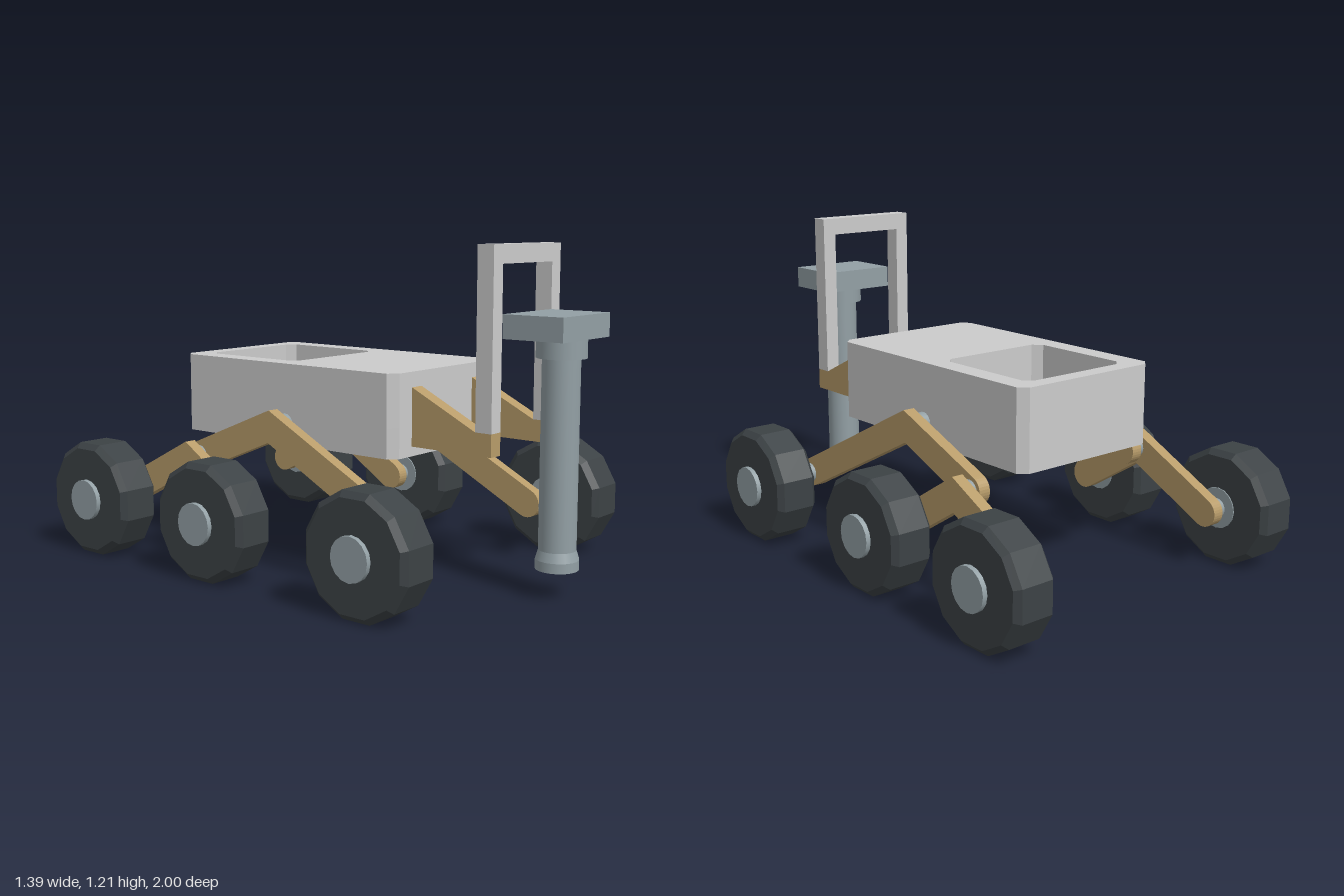
import * as THREE from 'three';

const material = (color, extra = {}) => new THREE.MeshStandardMaterial({ color, ...extra });

export function createModel() {
  const model = new THREE.Group();
  model.name = 'rover';
  const grey = material(0xcccccc);
  const steel = material(0x93a0a5);
  const gold = material(0xb89c6a);
  const rubber = material(0x3c4245, { flatShading: true });

  const add = (name, geometry, mat, x = 0, y = 0, z = 0) => {
    const mesh = new THREE.Mesh(geometry, mat);
    mesh.name = name;
    mesh.position.set(x, y, z);
    model.add(mesh);
    return mesh;
  };
  const points = (list) => list.map(([x, y]) => new THREE.Vector2(x, y));

  // Rectangle with cut corners, drawn in plan (x, -z)
  const cutRect = (w, z0, z1, c) => points([
    [-w + c, -z1], [w - c, -z1], [w, -z1 + c], [w, -z0 - c],
    [w - c, -z0], [-w + c, -z0], [-w, -z0 - c], [-w, -z1 + c],
  ]);
  // Extrude a plan shape upwards
  const extrudeUp = (shape, depth) =>
    new THREE.ExtrudeGeometry(shape, { depth, bevelEnabled: false }).rotateX(-Math.PI / 2);
  // Extrude a side profile (z, y) across x, centred on x = 0
  const extrudeAcross = (shape, depth) =>
    new THREE.ExtrudeGeometry(shape, { depth, bevelEnabled: false, curveSegments: 8 })
      .translate(0, 0, -depth / 2).rotateY(-Math.PI / 2);
  // Cylinder along x between two x positions
  const rod = (name, r, x0, x1, y, z, side) =>
    add(name, new THREE.CylinderGeometry(r, r, x1 - x0, 16).rotateZ(Math.PI / 2),
      steel, side * (x0 + x1) / 2, y, z);

  // Bent bar with round ends and a mitred elbow, through three (z, y) points
  const bentArm = (p0, p1, p2, h) => {
    const t0 = Math.atan2(p1[1] - p0[1], p1[0] - p0[0]);
    const t1 = Math.atan2(p2[1] - p1[1], p2[0] - p1[0]);
    const q = Math.PI / 2;
    const m = (t0 + t1) / 2 + q;
    const k = h / Math.cos((t1 - t0) / 2);
    const dx = Math.cos(m) * k, dy = Math.sin(m) * k;
    const s = new THREE.Shape();
    s.moveTo(p0[0] + h * Math.cos(t0 - q), p0[1] + h * Math.sin(t0 - q));
    s.lineTo(p1[0] - dx, p1[1] - dy);
    s.absarc(p2[0], p2[1], h, t1 - q, t1 + q, false);
    s.lineTo(p1[0] + dx, p1[1] + dy);
    s.absarc(p0[0], p0[1], h, t0 + q, t0 + 3 * q, false);
    return extrudeAcross(s, 0.046);
  };

  // Body: solid base and a rim around the open cargo bay
  const outline = cutRect(0.313, -0.615, 0.435, 0.032);
  add('bodyBase', extrudeUp(new THREE.Shape(outline), 0.11), grey, 0, 0.465, 0);
  const rim = new THREE.Shape(outline);
  rim.holes.push(new THREE.Path(cutRect(0.232, -0.55, -0.1, 0.032).reverse()));
  add('bodyRim', extrudeUp(rim, 0.19), grey, 0, 0.575, 0);

  // Front frame: upside-down U
  const frame = new THREE.Shape(points([
    [-0.21, 0.58], [-0.155, 0.58], [-0.155, 1.145], [0.155, 1.145],
    [0.155, 0.58], [0.21, 0.58], [0.21, 1.21], [-0.21, 1.21],
  ]));
  add('frontFrame', new THREE.ExtrudeGeometry(frame, { depth: 0.065, bevelEnabled: false }),
    grey, 0, 0, 0.703);

  // Drill: bracket plate, collar and hollow tube with flared tip
  add('drillBracket', new THREE.BoxGeometry(0.306, 0.083, 0.232), steel, 0, 0.937, 0.884);
  add('drillCollar', new THREE.CylinderGeometry(0.087, 0.087, 0.066, 20), steel, 0, 0.863, 0.906);
  // Doubled points keep the lathe edges sharp
  const tube = [
    [0, 0.2], [0.046, 0.2], [0.046, 0.2], [0.046, 0.1], [0.046, 0.1], [0.076, 0.1],
    [0.076, 0.1], [0.076, 0.135], [0.076, 0.135], [0.066, 0.168], [0.066, 0.168], [0.066, 0.84],
  ];
  add('drillTube', new THREE.LatheGeometry(points(tube), 20), steel, 0, 0, 0.906);

  // Shared shapes for both sides
  const axleY = 0.215;
  const strut = extrudeAcross(new THREE.Shape(points([
    [0.435, 0.5], [0.768, 0.5], [0.768, 0.58], [0.703, 0.58], [0.435, 0.71],
  ])), 0.055);
  const rocker = bentArm([-0.445, 0.39], [-0.078, 0.54], [0.555, axleY], 0.055);
  const bogie = bentArm([-0.785, axleY], [-0.445, 0.39], [-0.17, axleY], 0.055);
  const R = 0.2155 / Math.cos(Math.PI / 12);
  const tyre = new THREE.LatheGeometry(points([
    [0, -0.083], [R - 0.022, -0.083], [R, -0.063],
    [R, 0.063], [R - 0.022, 0.083], [0, 0.083],
  ]), 12, Math.PI / 12).rotateZ(-Math.PI / 2);

  for (const [label, side] of [['left', 1], ['right', -1]]) {
    add(label + 'FrameStrut', strut, gold, side * 0.1825, 0, 0);
    add(label + 'RockerArm', rocker, gold, side * 0.379, 0, 0);
    add(label + 'BogieArm', bogie, gold, side * 0.453, 0, 0);
    rod(label + 'RockerPivot', 0.04, 0.29, 0.37, 0.54, -0.078, side);
    rod(label + 'BogiePivot', 0.04, 0.39, 0.44, 0.39, -0.445, side);

    // Wheels: front on the rocker, middle and rear on the bogie
    for (const [place, z, armX] of [['Front', 0.555, 0.385], ['Middle', -0.17, 0.46], ['Rear', -0.785, 0.46]]) {
      rod(label + place + 'Axle', 0.038, armX, 0.53, axleY, z, side);
      rod(label + place + 'Hub', 0.078, 0.509, 0.697, axleY, z, side);
      add(label + place + 'Tyre', tyre, rubber, side * 0.596, axleY + 0.0005, z);
    }
  }
  return model;
}
